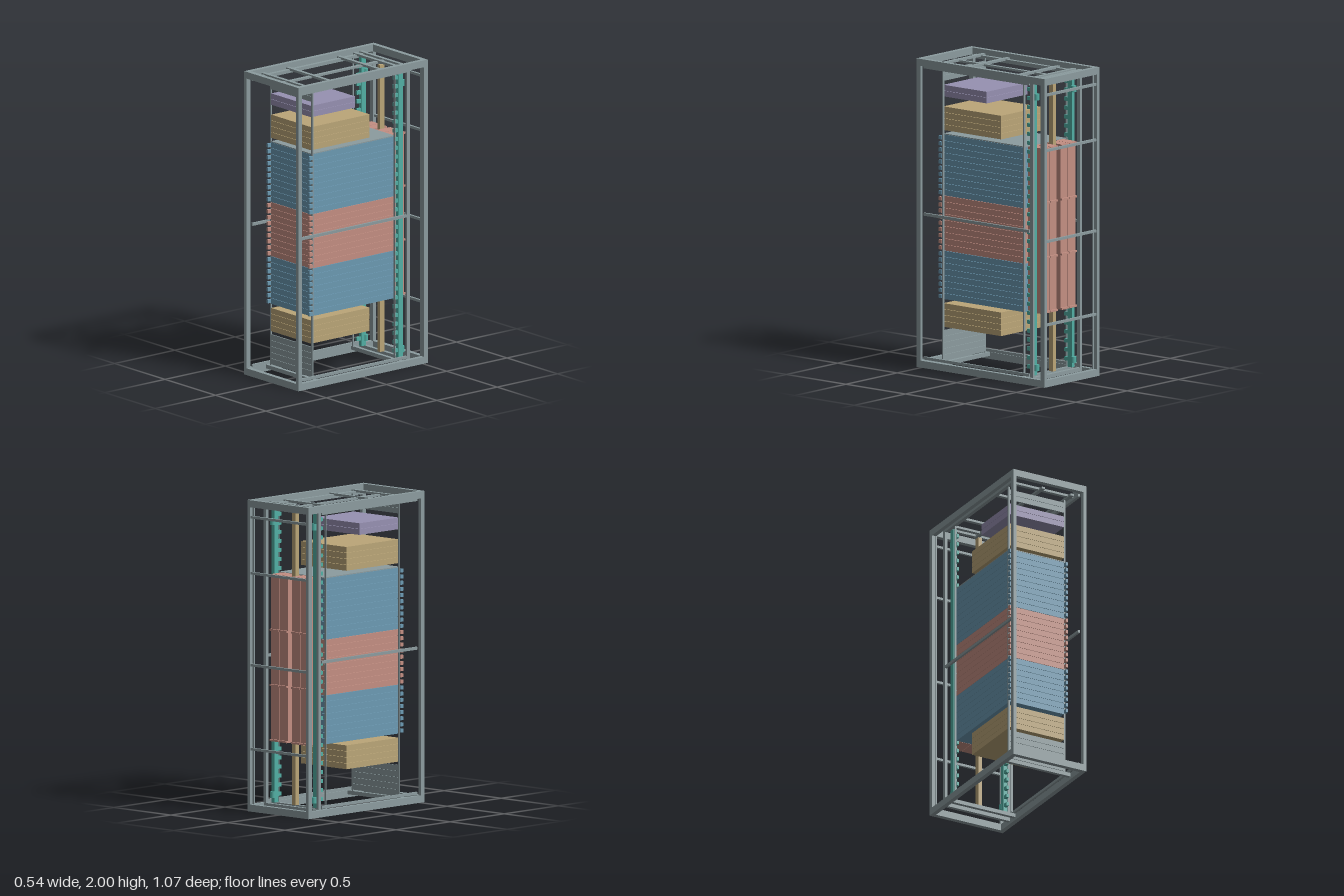
import * as THREE from 'three';

const mat = (name, color) => {
  const m = new THREE.MeshStandardMaterial({ color });
  m.name = name;
  return m;
};

export function createModel() {
  const steel = mat('grey steel', 0x8c9c9f);
  const blue = mat('blue', 0x6c9ab3);
  const red = mat('dull red', 0xc48f83);
  const tan = mat('tan', 0xbba678);
  const violet = mat('violet', 0x9791b2);
  const teal = mat('teal', 0x52b0a5);
  const model = new THREE.Group();
  model.name = 'equipmentRack';

  const group = (name) => {
    const g = new THREE.Group();
    g.name = name;
    model.add(g);
    return g;
  };
  // Box given by its limits on each axis
  const box = (parent, name, material, x0, x1, y0, y1, z0, z1) => {
    const m = new THREE.Mesh(new THREE.BoxGeometry(x1 - x0, y1 - y0, z1 - z0), material);
    m.position.set((x0 + x1) / 2, (y0 + y1) / 2, (z0 + z1) / 2);
    m.name = name;
    parent.add(m);
    return m;
  };
  // The same box on both sides of x = 0
  const pair = (parent, name, material, x0, x1, ...rest) => {
    box(parent, name, material, x0, x1, ...rest);
    box(parent, name, material, -x1, -x0, ...rest);
  };

  // Outer frame: four posts and two rings
  const W = 0.268, D = 0.537;
  const frame = group('outerFrame');
  for (const [z0, z1] of [[-D, -0.505], [0.505, D]]) {
    pair(frame, 'cornerPost', steel, 0.245, W, 0.045, 1.955, z0, z1);
    for (const y of [0, 1.955]) box(frame, 'crossBeam', steel, -W, W, y, y + 0.045, z0, z1);
  }
  for (const y of [0, 1.955]) pair(frame, 'sideBeam', steel, 0.238, W, y, y + 0.045, -0.505, 0.505);
  pair(frame, 'rearInnerStrip', steel, 0.234, 0.245, 0.045, 1.955, -0.513, -0.503);

  // Open grid under the top ring
  const grid = group('topGrid');
  for (const x of [-0.21, 0, 0.21]) {
    box(grid, 'lengthBar', steel, x - 0.0125, x + 0.0125, 1.955, 1.968, -0.42, 0.455);
  }
  for (const z of [-0.406, -0.352, -0.22, 0.202, 0.408]) {
    box(grid, 'crossBar', steel, -0.238, 0.238, 1.96, 1.975, z - 0.0125, z + 0.0125);
  }

  // Floor cross bars
  const floor = group('floorBars');
  for (const z of [-0.405, -0.335, 0.37]) {
    box(floor, 'floorBar', steel, -0.238, 0.238, 0.02, 0.045, z - 0.012, z + 0.012);
  }

  // Side rails, rear bars and mounting posts
  const rails = group('rails');
  for (const y of [0.058, 0.99, 1.945]) {
    pair(rails, 'sideRail', steel, 0.228, 0.242, y - 0.009, y + 0.009, -0.385, 0.5);
  }
  for (const y of [0.4, 0.94, 1.53, 1.89]) {
    box(rails, 'rearBar', steel, -0.245, 0.245, y - 0.008, y + 0.008, -0.53, -0.514);
  }
  pair(rails, 'rearPost', steel, 0.222, 0.24, 0.045, 1.955, -0.415, -0.39);
  pair(rails, 'rearMountStrip', steel, 0.2, 0.212, 0.045, 1.955, -0.318, -0.31);
  pair(rails, 'frontMountStrip', steel, 0.198, 0.21, 0.045, 1.955, 0.364, 0.372);

  // A stack of equal flat units with hairline gaps, optionally with front handles
  const stack = (name, material, y0, y1, count, zBack, zFront, handles) => {
    const g = group(name);
    const h = (y1 - y0) / count;
    for (let i = 0; i < count; i++) {
      const y = y0 + i * h;
      box(g, 'unit', material, -0.198, 0.198, y + 0.001, y + h - 0.001, zBack, zFront);
      if (handles) pair(g, 'handle', material, 0.198, 0.214, y + 0.008, y + h - 0.008, 0.372, 0.398);
    }
  };
  stack('lowerBlankPanels', steel, 0.052, 0.25, 5, 0.364, 0.372, false);
  stack('lowerTanUnits', tan, 0.27, 0.425, 4, -0.113, 0.372, false);
  stack('lowerBlueUnits', blue, 0.45, 0.765, 8, -0.312, 0.372, true);
  stack('redUnits', red, 0.765, 1.122, 9, -0.312, 0.372, true);
  stack('upperBlueUnits', blue, 1.122, 1.518, 10, -0.312, 0.372, true);
  stack('upperTanUnits', tan, 1.545, 1.7, 4, -0.113, 0.372, false);
  stack('violetUnits', violet, 1.763, 1.84, 2, 0.008, 0.372, false);
  stack('upperBlankPanels', steel, 1.865, 1.938, 2, 0.364, 0.372, false);
  box(model, 'stackCover', steel, -0.198, 0.198, 1.518, 1.524, -0.318, 0.372);

  // Tall red modules at the back, with thin ribs
  const modules = group('rearModules');
  for (const [x0, x1] of [[0.018, 0.089], [0.094, 0.167]]) {
    pair(modules, 'rearModule', red, x0, x1, 0.45, 1.522, -0.424, -0.313);
    for (const y of [0.456, 0.81, 1.165, 1.514]) {
      pair(modules, 'rib', red, x0, x1, y - 0.006, y + 0.006, -0.437, -0.424);
    }
  }

  // Central cable post
  box(model, 'cablePost', tan, -0.014, 0.014, 0.05, 1.94, -0.39, -0.355);

  // Power strips with a column of sockets and a plug at each end
  const power = group('powerStrips');
  pair(power, 'powerStrip', teal, 0.17, 0.197, 0.05, 1.955, -0.39, -0.354);
  for (let i = 0; i < 32; i++) {
    const y = 0.1 + i * 0.058;
    pair(power, 'socket', teal, 0.174, 0.19, y - 0.012, y + 0.012, -0.354, -0.322);
  }
  const plug = new THREE.CylinderGeometry(0.018, 0.018, 0.04, 12);
  for (const x of [-0.18, 0.18]) {
    for (const y of [0.1, 1.855]) {
      const p = new THREE.Mesh(plug, teal);
      p.name = 'plug';
      p.position.set(x, y, -0.395);
      power.add(p);
    }
  }
  return model;
}
